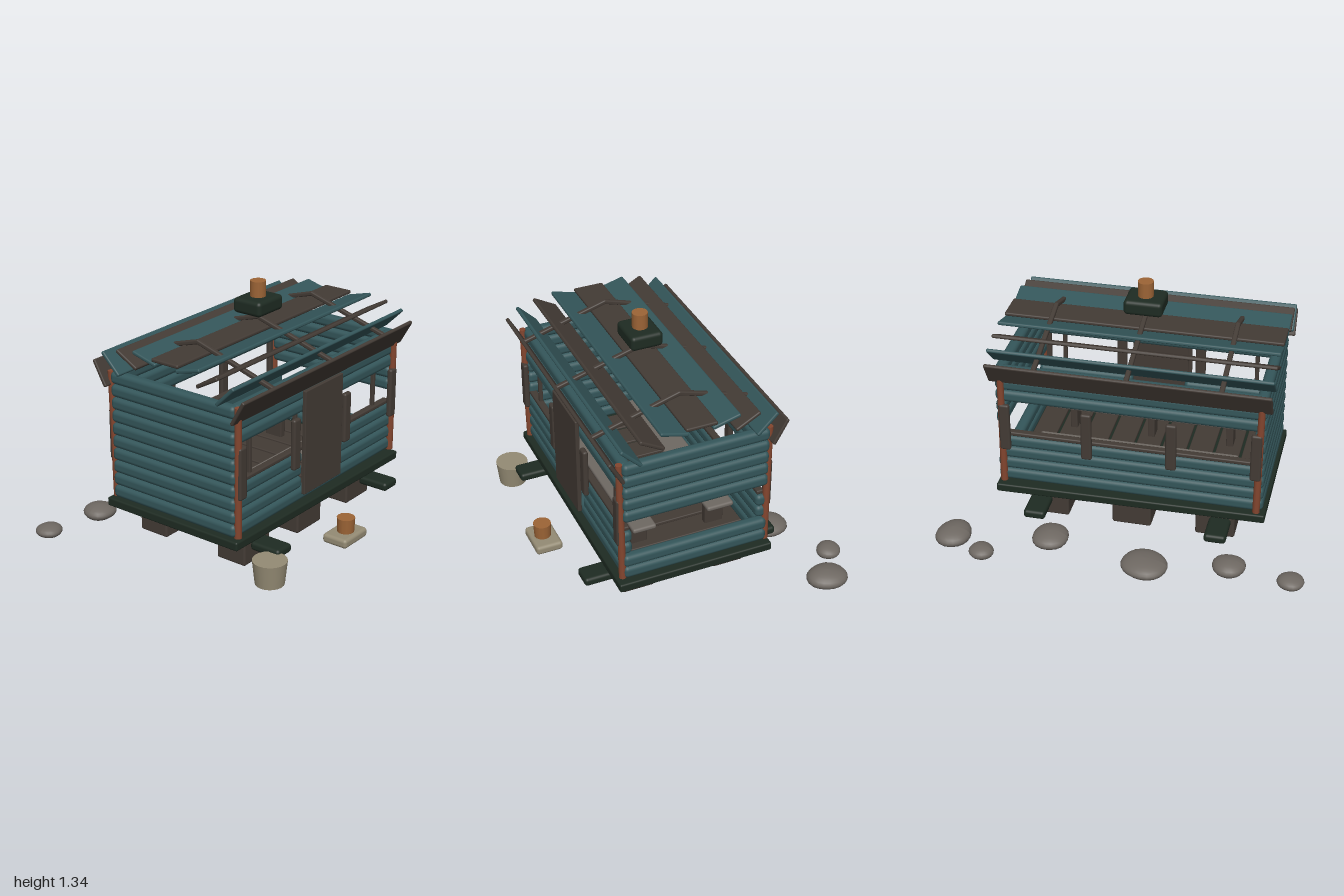
import * as THREE from 'three';
import { RoundedBoxGeometry } from 'three/addons/geometries/RoundedBoxGeometry.js';

const paint = (name, color) => {
  const m = new THREE.MeshStandardMaterial({ color });
  m.name = name;
  return m;
};

export function createModel() {
  const teal = paint('teal planks', 0x34565a);
  const brown = paint('dark brown wood', 0x433b35);
  const green = paint('dark green timber', 0x1e2b22);
  const rust = paint('rust posts', 0x84462f);
  const copper = paint('copper', 0x9c6436);
  const cream = paint('cream stone', 0x948b74);
  const grey = paint('grey stone', 0x6e6862);

  const model = new THREE.Group();
  model.name = 'cabin';
  const MID = 0.1; // z of the cabin's centre line

  const add = (name, geometry, material, x, y, z, parent = model) => {
    const mesh = new THREE.Mesh(geometry, material);
    mesh.name = name;
    mesh.position.set(x, y, z);
    parent.add(mesh);
    return mesh;
  };
  // Box with softened edges
  const block = (name, material, size, pos, r = 0.008, parent = model) =>
    add(name, new RoundedBoxGeometry(...size, 3, Math.min(r, Math.min(...size) * 0.49)), material, ...pos, parent);
  const group = (name) => {
    const g = new THREE.Group();
    g.name = name;
    model.add(g);
    return g;
  };

  // Foundation: six piers, four skid ends and a slightly sagging base
  for (const z of [0.36, -0.16])
    for (const x of [-0.465, -0.005, 0.455])
      block('pier', brown, [0.215, 0.16, 0.18], [x, 0.108, z], 0.012);
  for (const z of [0.56, -0.36])
    for (const x of [-0.497, 0.488])
      block('skidEnd', green, [0.118, 0.048, 0.18], [x, 0.15, z], 0.018);
  block('base', green, [1.47, 0.048, 0.86], [-0.005, 0.224, MID], 0.01).rotation.z = -0.012;

  // Floor boards
  const floor = group('floor');
  for (let i = 0; i < 9; i++)
    block('floorBoard', brown, [0.135, 0.02, 0.72], [-0.6 + i * 0.15, 0.255, MID], 0.006, floor);

  // Log walls: ten courses, counted from the top
  const courseY = (i) => 0.93 - i * 0.0704;
  const walls = group('walls');
  const log = (size, pos) => block('wallLog', teal, size, pos, 0.024, walls);
  for (let i = 0; i < 10; i++) {
    const y = courseY(i);
    log([0.06, 0.068, 0.8], [-0.695, y, MID]);
    if (i < 5 || i > 7) log([0.06, 0.068, 0.8], [0.69, y, MID]); // broken gap on the left side
    if (i > 2 && i < 6) continue; // window opening
    log([1.4, 0.068, 0.06], [0, y, MID - 0.375]);
    if (i < 3 || i === 9) log([1.4, 0.068, 0.06], [0, y, MID + 0.375]);
    else for (const s of [-1, 1]) log([0.55, 0.068, 0.06], [s * 0.425, y, MID + 0.375]);
  }

  // Corner posts, window planks and sills on both long sides
  for (const s of [-1, 1]) {
    for (const x of [-0.695, 0.685]) {
      const post = add('cornerPost', new THREE.CylinderGeometry(0.018, 0.02, 0.7, 10), rust, x, 0.61, MID + s * 0.405);
      post.rotation.set(s * 0.012, 0, 0.012);
    }
    for (const x of [-0.68, -0.232, 0.222, 0.667])
      block('windowPlank', brown, [0.058, 0.28, 0.03], [x, 0.61, MID + s * 0.415], 0.012);
    block('windowSill', brown, [1.36, 0.024, 0.04], [0, 0.552, MID + s * 0.375]);
  }
  for (const x of [-0.56, -0.18, 0.545])
    block('windowBar', brown, [0.022, 0.22, 0.022], [x, 0.655, MID + 0.37], 0.005);

  // Door
  block('door', brown, [0.333, 0.575, 0.022], [-0.008, 0.595, 0.523], 0.004);

  // Benches inside
  for (const [z, y, w] of [[0.315, 0.403, 0.13], [-0.115, 0.415, 0.15]]) {
    const bench = group('bench');
    block('benchTop', grey, [1.1, 0.028, w], [0, y, z], 0.012, bench);
    for (const x of [-0.45, 0, 0.45])
      block('benchLeg', brown, [0.04, y - 0.26, w * 0.7], [x, (y + 0.25) / 2, z], 0.006, bench);
  }

  // Roof: each plank runs from its outer edge to its inner edge, mirrored front to back
  const roof = group('roof');
  const span = (name, material, x, width, thick, z0, y0, z1, y1) => {
    const m = block(name, material, [width, thick, Math.hypot(z1 - z0, y1 - y0)],
      [x, (y0 + y1) / 2, (z0 + z1) / 2], 0.008, roof);
    m.rotation.x = -Math.atan2(y1 - y0, z1 - z0);
  };
  const slopes = [ // distance from the ridge and height at both ends
    ['eaveBoard', brown, 0.405, 0.885, 0.48, 1.018],
    ['roofPlank', teal, 0.312, 0.965, 0.42, 1.073],
    ['roofPlank', brown, 0.192, 1.03, 0.322, 1.102],
    ['roofPlank', teal, 0.064, 1.078, 0.214, 1.118],
  ];
  for (const s of [-1, 1]) {
    for (const [name, mat, d0, y0, d1, y1] of slopes)
      span(name, mat, -0.005, 1.5, 0.02, MID + s * d0, y0, MID + s * d1, y1);
    for (const x of [-0.497, -0.005, 0.482])
      span('rafter', brown, x, 0.026, 0.024, MID + s * 0.475, 1.005, MID - s * 0.008, 1.15);
  }
  block('ridgePlank', brown, [1.5, 0.02, 0.17], [-0.005, 1.105, 0.095], 0.008, roof);

  // Chimney
  block('chimneyBase', green, [0.208, 0.082, 0.178], [-0.006, 1.22, 0.1], 0.022);
  add('chimneyPipe', new THREE.CylinderGeometry(0.042, 0.042, 0.1, 14), copper, -0.006, 1.295, 0.1);

  // Front step with a small pot, and a bucket
  block('step', cream, [0.208, 0.052, 0.15], [-0.006, 0.055, 0.68], 0.018);
  add('pot', new THREE.CylinderGeometry(0.049, 0.045, 0.09, 14), copper, -0.008, 0.116, 0.685);
  add('bucket', new THREE.CylinderGeometry(0.09, 0.076, 0.13, 20), cream, -0.62, 0.09, 0.645);

  // Coiled ring beneath the floor
  for (const [r, y] of [[0.1, 0.039], [0.085, 0.059]]) {
    const ring = add('coil', new THREE.TorusGeometry(r, 0.016, 8, 24), grey, 0.38, y, 0.035);
    ring.rotation.x = Math.PI / 2;
    ring.scale.z = 0.65;
  }

  // Boulders behind: x, z, radius in x, radius in z, half height
  const boulders = [
    [-0.925, -0.585, 0.074, 0.072, 0.035], [-0.592, -0.53, 0.094, 0.09, 0.044],
    [-0.158, -0.615, 0.13, 0.122, 0.048], [0.385, -0.49, 0.104, 0.112, 0.046],
    [0.71, -0.69, 0.069, 0.068, 0.037], [0.9, -0.578, 0.098, 0.115, 0.05],
  ];
  boulders.forEach(([x, z, rx, rz, ry], i) => {
    const g = new THREE.SphereGeometry(1, 20, 14);
    const p = g.attributes.position;
    const v = new THREE.Vector3();
    for (let k = 0; k < p.count; k++) {
      v.fromBufferAttribute(p, k);
      const lump = 0.97 + 0.04 * Math.sin(3 * v.x + i * 1.7) * Math.cos(2.5 * v.z + i);
      p.setXYZ(k, v.x * lump * rx, v.y * lump * ry, v.z * lump * rz);
    }
    g.computeVertexNormals();
    add('boulder', g, grey, x, 0.058, z);
  });

  // Rest the lowest point on the ground
  model.updateMatrixWorld(true);
  const low = new THREE.Box3().setFromObject(model).min.y;
  if (low < 0) model.position.y = -low;
  return model;
}
